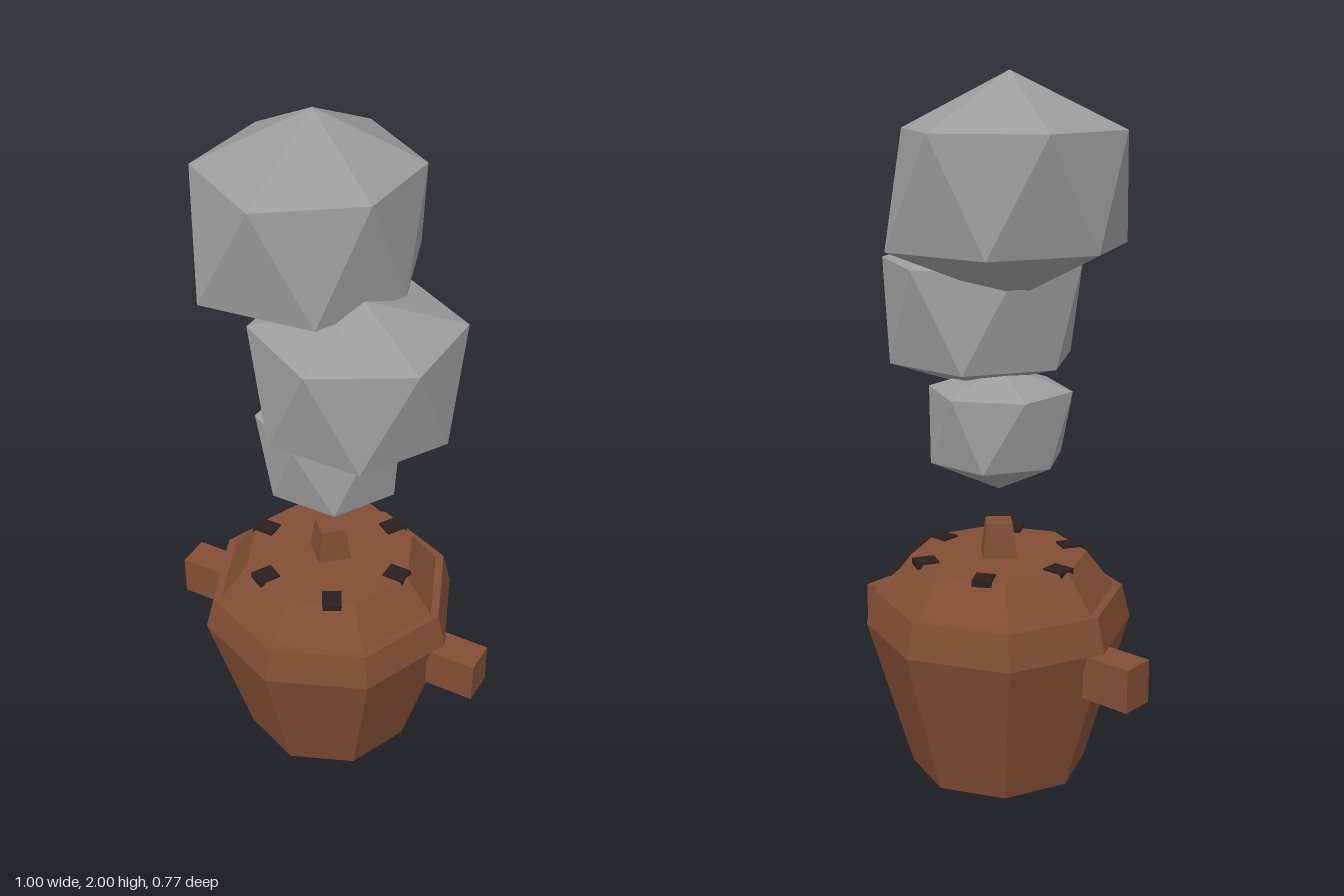
import * as THREE from 'three';

const flat = (name, color) => {
  const m = new THREE.MeshStandardMaterial({ color, flatShading: true });
  m.name = name;
  return m;
};

// Low-poly boulder: a pole, two staggered six-point rings and another pole.
// Ring points are [x, z], running from the front towards +x.
function boulderGeometry({ top, upperY, upper, lowerY, lower, bottom }) {
  const positions = [
    ...top,
    ...upper.flatMap(([x, z]) => [x, upperY, z]),
    ...lower.flatMap(([x, z]) => [x, lowerY, z]),
    ...bottom,
  ];
  const index = [];
  for (let k = 0; k < 6; k++) {
    const n = (k + 1) % 6;
    const u0 = 1 + k, u1 = 1 + n, l0 = 7 + k, l1 = 7 + n;
    index.push(0, u0, u1, u0, l0, u1, l0, l1, u1, 13, l1, l0);
  }
  const indexed = new THREE.BufferGeometry();
  indexed.setAttribute('position', new THREE.Float32BufferAttribute(positions, 3));
  indexed.setIndex(index);
  const g = indexed.toNonIndexed();
  g.computeVertexNormals();
  return g;
}

// Regular six-point ring
const ring = (cx, cz, r, startDeg) =>
  Array.from({ length: 6 }, (_, k) => {
    const a = THREE.MathUtils.degToRad(startDeg + 60 * k);
    return [cx + r * Math.sin(a), cz + r * Math.cos(a)];
  });

export function createModel() {
  const model = new THREE.Group();
  model.name = 'steamingPot';

  const clay = flat('brown clay', 0x824e34);
  const stone = flat('smoke grey', 0x9c9c9c);
  const dark = flat('dark vent', 0x2a2020);

  const add = (name, geometry, material, x = 0, y = 0, z = 0, parent = model) => {
    const mesh = new THREE.Mesh(geometry, material);
    mesh.name = name;
    mesh.position.set(x, y, z);
    parent.add(mesh);
    return mesh;
  };

  // Eight-sided pot: tapered wall, then a rim leaning inwards
  add('potWall', new THREE.CylinderGeometry(0.385, 0.255, 0.44, 8), clay, 0, 0.22);
  add('potRim', new THREE.CylinderGeometry(0.36, 0.385, 0.1, 8), clay, 0, 0.49);

  // Lid and its square tapered knob
  add('lid', new THREE.CylinderGeometry(0.255, 0.335, 0.105, 8), clay, 0, 0.5925);
  add('lidKnob', new THREE.CylinderGeometry(0.052, 0.069, 0.1, 4), clay, 0, 0.695);

  // Six dark vents around the lid
  const vents = new THREE.Group();
  vents.name = 'lidVents';
  model.add(vents);
  for (let k = 0; k < 6; k++) {
    const a = (k * Math.PI) / 3;
    const vent = add('lidVent', new THREE.BoxGeometry(0.065, 0.018, 0.055), dark,
      0.22 * Math.cos(a), 0.642, 0.22 * Math.sin(a), vents);
    vent.rotation.y = -a;
  }

  // Block handles
  for (const s of [1, -1]) {
    add(s > 0 ? 'leftHandle' : 'rightHandle',
      new THREE.BoxGeometry(0.15, 0.125, 0.1), clay, s * 0.425, 0.377, 0);
  }

  // Three puffs of smoke, growing as they rise
  const puffs = {
    smallPuff: {
      top: [0, 1.2, 0], upperY: 1.133, upper: ring(-0.005, 0, 0.205, 0),
      lowerY: 0.932, lower: ring(0.008, 0, 0.195, 30), bottom: [0, 0.84, 0],
    },
    middlePuff: {
      top: [0.14, 1.575, 0.075], upperY: 1.48, upper: ring(0.108, 0.048, 0.288, 0),
      lowerY: 1.2, lower: ring(0.107, 0.05, 0.272, 30), bottom: [0.15, 1.11, 0.05],
    },
    largePuff: {
      top: [-0.08, 2, -0.05],
      upperY: 1.85,
      upper: [[-0.08, 0.27], [0.165, 0.09], [0.175, -0.195], [-0.08, -0.367], [-0.34, -0.2], [-0.352, 0.105]],
      lowerY: 1.54,
      lower: [[0.075, 0.215], [0.195, -0.055], [0.095, -0.345], [-0.225, -0.31], [-0.367, -0.03], [-0.253, 0.247]],
      bottom: [-0.09, 1.4, -0.05],
    },
  };
  for (const [name, spec] of Object.entries(puffs)) add(name, boulderGeometry(spec), stone);

  return model;
}
